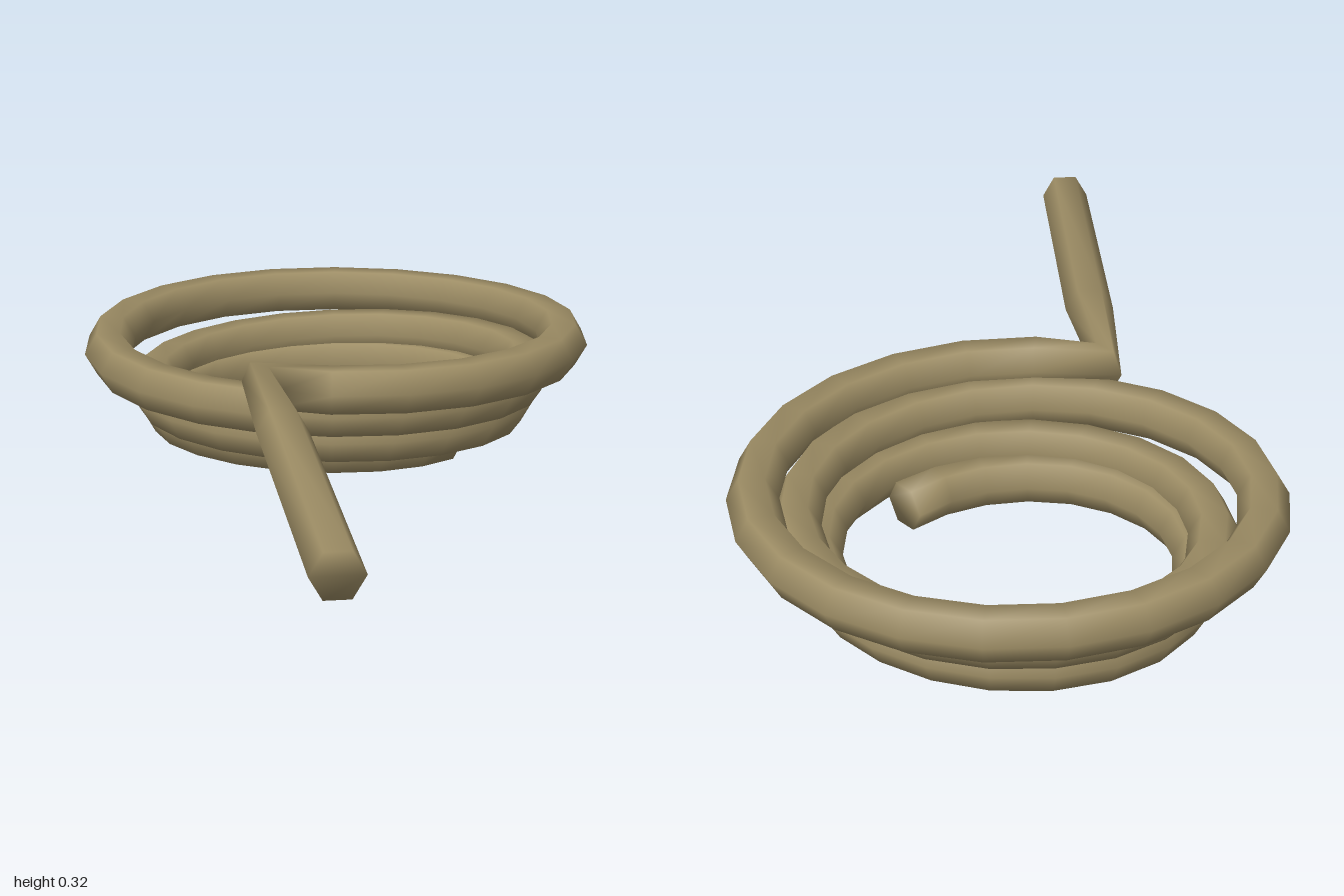
import * as THREE from 'three';

const SIDES = 6;
const RADIUS = 0.06;
const STEPS_PER_TURN = 22;

// Coil centre line: [radius, height] at every quarter turn, from the inner end outward
const QUARTERS = [
  [0.37, 0.055], [0.41, 0.07], [0.44, 0.063], [0.435, 0.083],
  [0.46, 0.105], [0.465, 0.12], [0.46, 0.132], [0.475, 0.16],
  [0.515, 0.185], [0.56, 0.21], [0.58, 0.235], [0.58, 0.24],
  [0.59, 0.258], [0.608, 0.28],
];

function ropePath() {
  const keys = new THREE.CatmullRomCurve3(
    QUARTERS.map(([r, y], i) => new THREE.Vector3(i, r, y)), false, 'catmullrom');
  const points = [];
  for (let i = 0; i <= 3 * STEPS_PER_TURN + 4; i++) {
    const turn = i / STEPS_PER_TURN;
    const key = keys.getPoint(turn * 4 / (QUARTERS.length - 1));
    const a = turn * Math.PI * 2;
    points.push(new THREE.Vector3(-0.28 + key.y * Math.cos(a), key.z, -0.36 + key.y * Math.sin(a)));
  }
  // Loose straight end after the sharp bend
  points.push(new THREE.Vector3(0.24, 0.26, 0.405), new THREE.Vector3(0.878, 0.2, 0.945));
  return points;
}

// Sweeps a hexagon along the points, mitred at each bend, with closed ends
function sweep(points) {
  const positions = [];
  const index = [];
  const up = new THREE.Vector3(0, 1, 0);
  const last = points.length - 1;
  const direction = (i) => points[i + 1].clone().sub(points[i]).normalize();

  points.forEach((p, i) => {
    const t = new THREE.Vector3();
    if (i > 0) t.add(direction(i - 1));
    if (i < last) t.add(direction(i));
    t.normalize();
    const side = up.clone().cross(t).normalize();
    const normal = t.clone().cross(side);
    for (let k = 0; k < SIDES; k++) {
      const a = (k / SIDES) * Math.PI * 2;
      const v = p.clone()
        .addScaledVector(side, RADIUS * Math.cos(a))
        .addScaledVector(normal, RADIUS * Math.sin(a));
      positions.push(v.x, v.y, v.z);
    }
  });

  for (let i = 0; i < last; i++) {
    for (let k = 0; k < SIDES; k++) {
      const a = i * SIDES + k;
      const b = i * SIDES + (k + 1) % SIDES;
      index.push(a, b, a + SIDES, b, b + SIDES, a + SIDES);
    }
  }
  // End caps
  const e = last * SIDES;
  for (let k = 1; k < SIDES - 1; k++) {
    index.push(0, k + 1, k, e, e + k, e + k + 1);
  }

  const geometry = new THREE.BufferGeometry();
  geometry.setAttribute('position', new THREE.Float32BufferAttribute(positions, 3));
  geometry.setIndex(index);
  geometry.computeVertexNormals();
  return geometry;
}

export function createModel() {
  const group = new THREE.Group();
  group.name = 'coiledRope';
  const hemp = new THREE.MeshStandardMaterial({ color: 0x9c8c64 });
  hemp.name = 'hemp';
  const rope = new THREE.Mesh(sweep(ropePath()), hemp);
  rope.name = 'rope';
  group.add(rope);
  return group;
}
